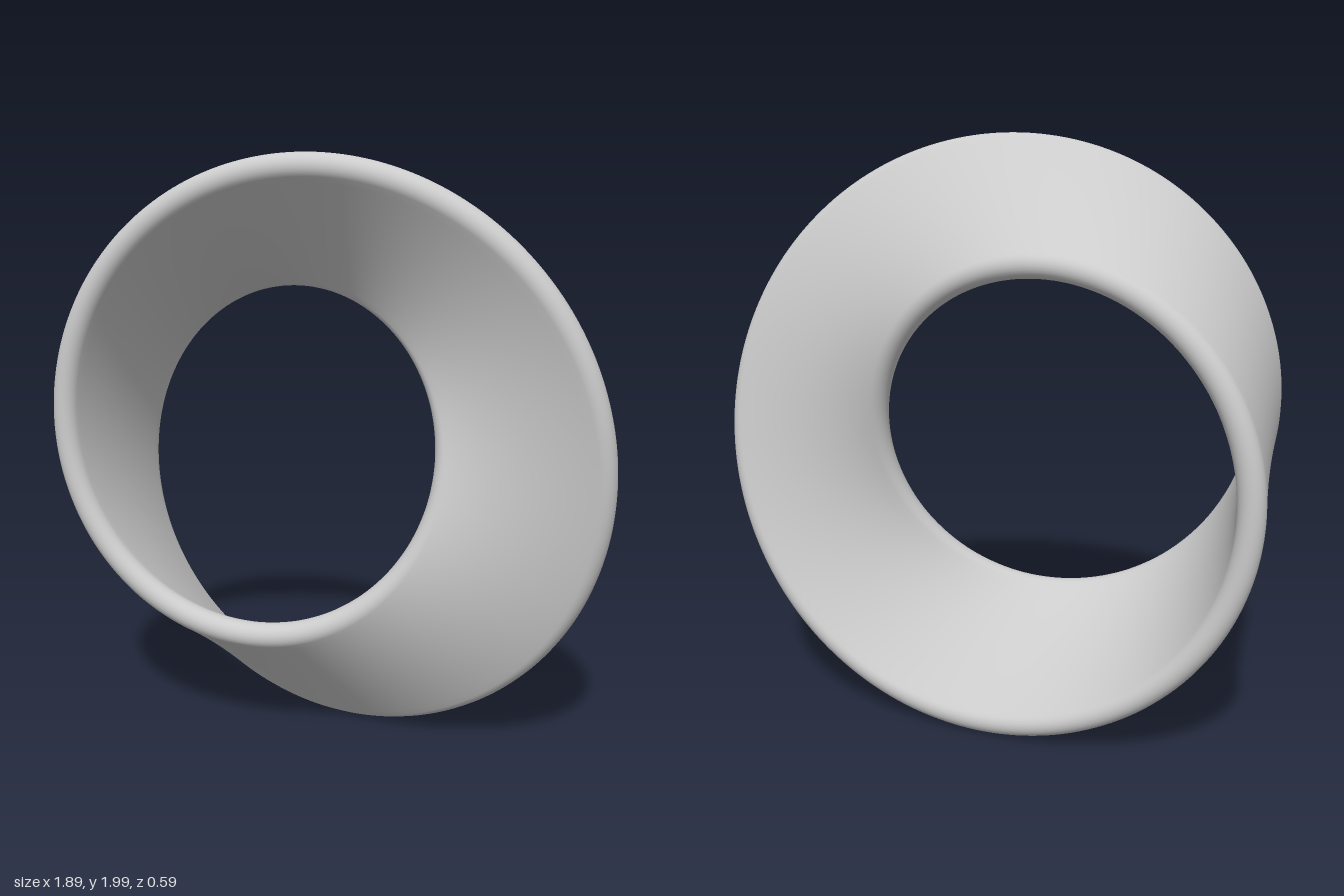
import * as THREE from 'three';

const RADIUS = 0.77;       // centre line of the ring
const CENTRE_X = -0.125;   // ring centre, offset so the bounds are centred
const HALF_WIDTH = 0.295;
const HALF_THICK = 0.045;
const RINGS = 288;

// Band cross-section with fully rounded edges; its second half is the first turned by 180 degrees
function bandSection(arcSteps = 14, flatSteps = 20) {
  const flat = HALF_WIDTH - HALF_THICK;
  const half = [];
  for (let i = 0; i <= arcSteps; i++) {
    const a = -Math.PI / 2 + (Math.PI * i) / arcSteps;
    half.push([flat + HALF_THICK * Math.cos(a), HALF_THICK * Math.sin(a)]);
  }
  for (let i = 1; i < flatSteps; i++) half.push([flat - (2 * flat * i) / flatSteps, HALF_THICK]);
  return [...half, ...half.map(([u, v]) => [-u, -v])];
}

// Sweep the section round the ring while it makes one half twist
function twistedBandGeometry() {
  const section = bandSection();
  const count = section.length;
  const positions = [];
  const indices = [];

  for (let i = 0; i < RINGS; i++) {
    const angle = (2 * Math.PI * i) / RINGS;
    const c = Math.cos(angle / 2);
    const s = Math.sin(angle / 2);
    for (const [u, v] of section) {
      const r = RADIUS + u * c - v * s;
      positions.push(CENTRE_X + r * Math.cos(angle), 1 + r * Math.sin(angle), u * s + v * c);
    }
  }

  // After a full turn the section is upside down, so the last ring joins the first half a loop on
  const vertex = (i, j) =>
    i < RINGS ? i * count + (j % count) : (j + count / 2) % count;
  for (let i = 0; i < RINGS; i++) {
    for (let j = 0; j < count; j++) {
      const a = vertex(i, j), b = vertex(i + 1, j);
      const d = vertex(i + 1, j + 1), e = vertex(i, j + 1);
      indices.push(a, b, d, a, d, e);
    }
  }

  const geometry = new THREE.BufferGeometry();
  geometry.setAttribute('position', new THREE.Float32BufferAttribute(positions, 3));
  geometry.setIndex(indices);
  geometry.computeVertexNormals();
  return geometry;
}

export function createModel() {
  const group = new THREE.Group();
  group.name = 'mobiusRing';
  const band = new THREE.Mesh(
    twistedBandGeometry(),
    new THREE.MeshStandardMaterial({ color: 0xcccccc })
  );
  band.name = 'twistedBand';
  group.add(band);
  return group;
}
